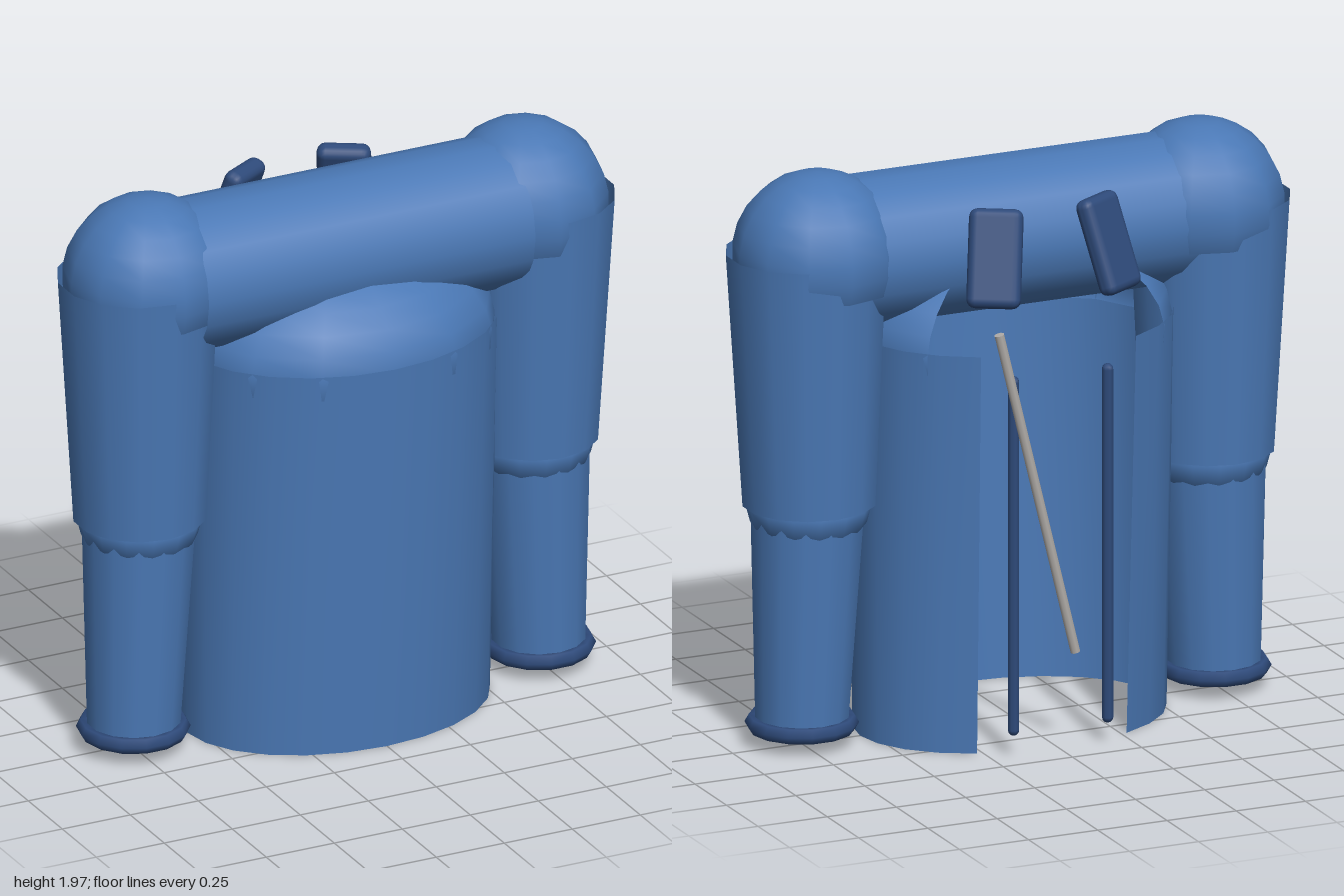
import * as THREE from 'three';
import { RoundedBoxGeometry } from 'three/addons/geometries/RoundedBoxGeometry.js';

const rad = THREE.MathUtils.degToRad;

export function createModel() {
  const group = new THREE.Group();
  group.name = 'jacket';

  const cloth = new THREE.MeshStandardMaterial({ name: 'blueCloth', color: 0x4a78b5, side: THREE.DoubleSide });
  const trim = new THREE.MeshStandardMaterial({ name: 'darkBlueTrim', color: 0x2e4a7a });
  const metal = new THREE.MeshStandardMaterial({ name: 'greyMetal', color: 0xb0aca8 });

  function add(name, geometry, material, parent = group) {
    const mesh = new THREE.Mesh(geometry, material);
    mesh.name = name;
    parent.add(mesh);
    return mesh;
  }

  // Open tube or rod running between two points
  function tube(name, top, bottom, rTop, rBottom, material, parent, sides = 14) {
    const a = new THREE.Vector3(...top), b = new THREE.Vector3(...bottom);
    const capless = material === cloth;
    const mesh = add(name, new THREE.CylinderGeometry(rTop, rBottom, a.distanceTo(b), sides, 1, capless), material, parent);
    mesh.position.copy(a).add(b).multiplyScalar(0.5);
    mesh.quaternion.setFromUnitVectors(new THREE.Vector3(0, 1, 0), a.sub(b).normalize());
    return mesh;
  }

  // Torso: oval tapered shell, open at the back
  const height = 1.385;
  const shell = new THREE.CylinderGeometry(1, 1, height, 20, 1, true, rad(-150), rad(300));
  shell.translate(0, height / 2, 0);
  const p = shell.attributes.position;
  for (let i = 0; i < p.count; i++) {
    const t = p.getY(i) / height;
    p.setX(i, p.getX(i) * THREE.MathUtils.lerp(0.54, 0.56, t));
    p.setZ(i, p.getZ(i) * THREE.MathUtils.lerp(0.388, 0.45, t));
  }
  shell.computeVertexNormals();
  add('torsoShell', shell, cloth);

  // Chest dome closing the torso, with a wider gap at the back
  const dome = new THREE.SphereGeometry(1, 10, 8, rad(90 - 130), rad(260), 0, Math.PI * 0.55);
  // turn the gap so that it faces the back
  dome.rotateY(rad(180));
  dome.rotateY(rad(-90 - 0));
  const d = dome.attributes.position;
  let sumZ = 0, sumX = 0;
  for (let i = 0; i < d.count; i++) { sumZ += d.getZ(i); sumX += d.getX(i); }
  dome.rotateY(-Math.atan2(sumX, sumZ));
  dome.scale(0.56, 0.33, 0.45);
  add('chestDome', dome, cloth).position.y = 1.35;

  // Shoulder yoke lying across the top
  const yoke = add('shoulderYoke', new THREE.CylinderGeometry(0.255, 0.255, 1.2, 18, 1, true), cloth);
  yoke.rotation.z = Math.PI / 2;
  yoke.position.set(0, 1.67, 0.025);

  for (const s of [1, -1]) {
    const side = new THREE.Group();
    side.name = s > 0 ? 'leftSide' : 'rightSide';
    group.add(side);

    // Sleeve: shoulder cap, upper tube, elbow, lower tube, cuff
    const cap = add('shoulderCap', new THREE.SphereGeometry(0.283, 12, 8, 0, Math.PI * 2, 0, Math.PI * 0.62), cloth, side);
    cap.position.set(s * 0.69, 1.683, 0.008);
    tube('upperSleeve', [s * 0.728, 1.7, 0.012], [s * 0.72, 0.83, 0.008], 0.271, 0.224, cloth, side);
    const elbow = add('elbow', new THREE.SphereGeometry(0.208, 14, 8), cloth, side);
    elbow.scale.y = 0.75;
    elbow.position.set(s * 0.722, 0.82, 0.01);
    tube('lowerSleeve', [s * 0.725, 0.82, 0.01], [s * 0.745, 0.06, 0.012], 0.192, 0.156, cloth, side);
    const cuff = add('cuff', new THREE.TorusGeometry(0.16, 0.029, 6, 14), trim, side);
    cuff.rotation.x = Math.PI / 2;
    cuff.position.set(s * 0.745, 0.073, 0.012);

    // Tilted collar flap and the placket bar below it
    const flap = add('collarFlap', new RoundedBoxGeometry(0.18, 0.33, 0.07, 2, 0.03), trim, side);
    flap.rotation.order = 'YXZ';
    flap.rotation.set(rad(20), rad(-30 * s), 0);
    flap.position.set(s * 0.205, 1.7, -0.335);
    const bar = add('placketBar', new THREE.CapsuleGeometry(0.02, 1.2, 3, 8), trim, side);
    bar.position.set(s * 0.17, 0.69, -0.405);
  }

  // Slanted zip rod
  tube('zipRod', [0.235, 1.47, -0.435], [-0.04, 0.34, -0.435], 0.017, 0.017, metal, group, 8);

  return group;
}
